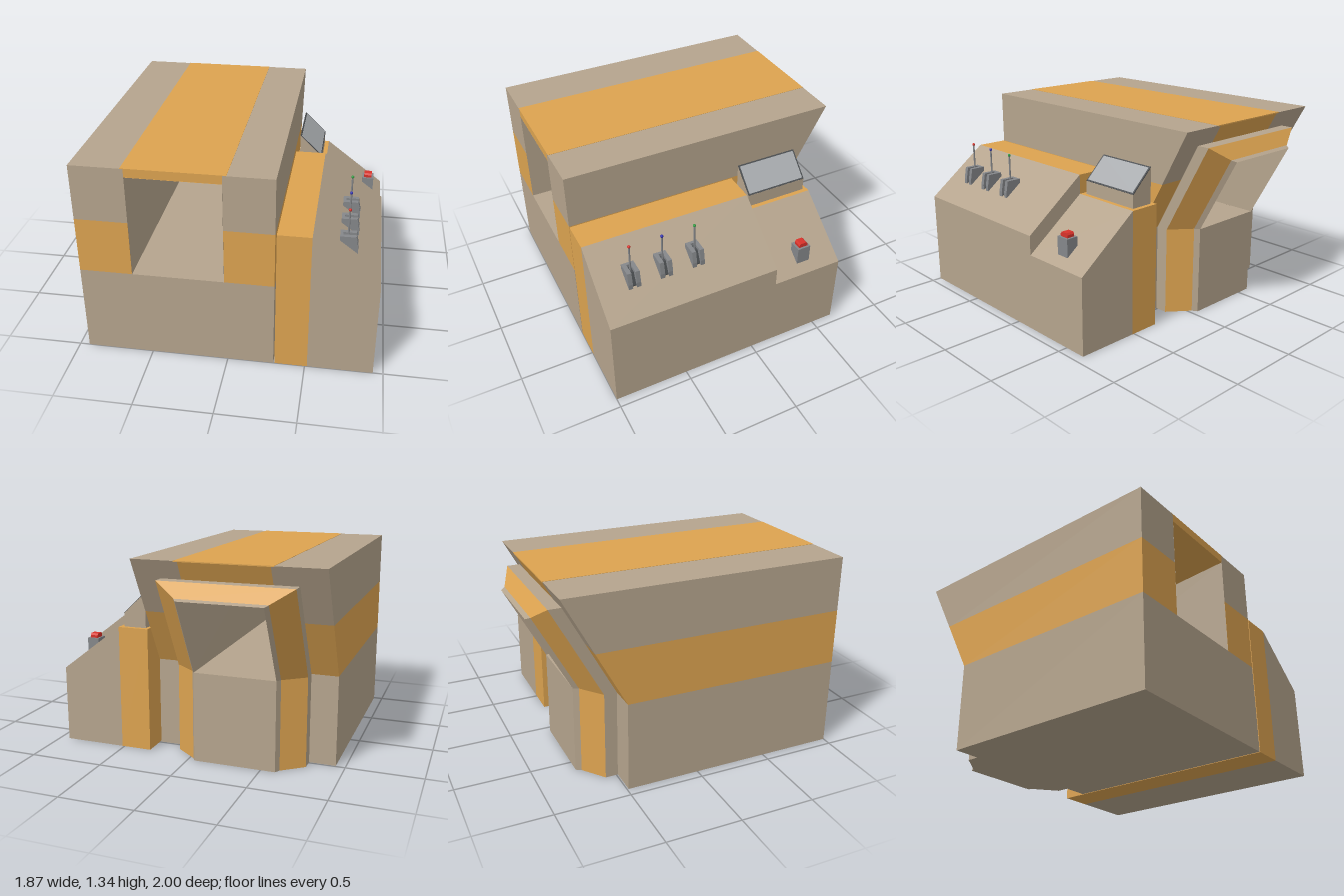
import * as THREE from 'three';

const mat = (color) => new THREE.MeshStandardMaterial({ color });
const TAN = mat(0xb5a48d), ORANGE = mat(0xdca350), GREY = mat(0x85878a), DARK = mat(0x4c4f52), GLASS = mat(0xa9acaf);
const RED = mat(0xd8322a), BLUE = mat(0x3030b0), GREEN = mat(0x2f9a40);
const SLOPE = 0.544, BEND = 0.6;
const backZ = (y, z0 = -0.49) => z0 - SLOPE * Math.max(0, y - BEND);

export function createModel() {
  const model = new THREE.Group();
  const add = (parent, name, geo, material) => {
    const m = new THREE.Mesh(geo, material);
    m.name = name;
    parent.add(m);
    return m;
  };
  const group = (name) => {
    const g = new THREE.Group();
    g.name = name;
    model.add(g);
    return g;
  };
  const box = (x0, x1, y0, y1, z0, z1) =>
    new THREE.BoxGeometry(x1 - x0, y1 - y0, z1 - z0).translate((x0 + x1) / 2, (y0 + y1) / 2, (z0 + z1) / 2);
  const extrude = (pts, depth) =>
    new THREE.ExtrudeGeometry(new THREE.Shape(pts.map((p) => new THREE.Vector2(...p))), { depth, bevelEnabled: false });
  // profile of [x, y] points swept along z
  const alongZ = (pts, z0, z1) => extrude(pts, z1 - z0).translate(0, 0, z0);
  // profile of [z, y] points swept along x
  const alongX = (pts, x0, x1) =>
    extrude(pts.map(([z, y]) => [-z, y]), x1 - x0).rotateY(Math.PI / 2).translate(x0, 0, 0);
  // strip of flat quads between two point rows
  const loft = (a, b) => {
    const v = [];
    for (let i = 0; i < a.length - 1; i++)
      for (const p of [a[i], b[i], b[i + 1], a[i], b[i + 1], a[i + 1]]) v.push(...p);
    const g = new THREE.BufferGeometry();
    g.setAttribute('position', new THREE.Float32BufferAttribute(v, 3));
    g.computeVertexNormals();
    return g;
  };
  const addStrip = (parent, name, a, b, material) => {
    const m = material.clone();
    m.side = THREE.DoubleSide;
    return add(parent, name, loft(a, b), m);
  };

  // main housing: base, two banded columns and the lintel
  const housing = group('housing');
  add(housing, 'housingBase', box(-0.937, 0.297, 0, 0.6, -0.49, 1), TAN);
  for (const [x0, x1, side] of [[-0.937, -0.6, 'right'], [-0.015, 0.297, 'left']]) {
    for (const [y0, y1, material, part] of [[0.6, 0.97, ORANGE, 'Band'], [0.97, 1.335, TAN, 'Upper']]) {
      const profile = [[1, y0], [1, y1], [backZ(y1), y1], [backZ(y0), y0]];
      add(housing, side + 'Column' + part, alongX(profile, x0, x1), material);
    }
  }
  add(housing, 'lintel', alongX([[1, 1.28], [1, 1.335], [backZ(1.335), 1.335], [backZ(1.13), 1.13]], -0.6, -0.015), ORANGE);
  add(housing, 'roofStripe', box(-0.62, 0.01, 1.33, 1.337, backZ(1.335), 1), ORANGE);

  // rear collar: arched rings stepping outwards and inwards
  const collar = group('rearCollar');
  const ring = (xl, xr, top, z0) =>
    [[xl, 0], [xl, BEND], [xl, top], [xr, top], [xr, BEND], [xr, 0]].map(([x, y]) => [x, y, backZ(y, z0)]);
  const rings = [
    ring(-0.76, 0.12, 1.214, -0.48),
    ring(-0.76, 0.12, 1.214, -0.574),
    ring(-0.617, -0.026, 1.123, -0.687),
    ring(-0.597, -0.047, 1.112, -0.722),
  ];
  const colours = [TAN, ORANGE, TAN];
  for (let i = 0; i < 3; i++) {
    addStrip(collar, 'collarStep', rings[i], rings[i + 1], colours[i]);
    addStrip(collar, 'collarUnderside', [rings[i][0], rings[i][5]], [rings[i + 1][0], rings[i + 1][5]], TAN);
  }
  add(collar, 'collarSill', box(-0.597, -0.047, 0, 0.6, -0.722, -0.49), TAN);

  // tunnel lining from front window to rear opening
  const tunnel = group('tunnel');
  const front = [[-0.599, 0.6, 1], [-0.599, 1.279, 1], [-0.016, 1.279, 1], [-0.016, 0.6, 1]];
  const back = rings[3].slice(1, 5);
  ['rightWall', 'ceiling', 'leftWall'].forEach((name, i) =>
    addStrip(tunnel, name, front.slice(i, i + 2), back.slice(i, i + 2), i === 1 ? ORANGE : TAN));

  // control console: high section in front, lower one behind
  const consoleGroup = group('console');
  for (const [name, top, low, z0, z1] of [['front', 0.97, 0.65, -0.157, 1], ['rear', 0.84, 0.52, -0.655, -0.157]]) {
    add(consoleGroup, name + 'Deck', box(0.305, 0.515, 0, top, z0, z1), ORANGE);
    add(consoleGroup, name + 'Slope', alongZ([[0.515, 0], [0.935, 0], [0.935, low], [0.515, top]], z0, z1), TAN);
  }

  // tilted screen
  const screen = group('screen');
  add(screen, 'screenHousing', alongZ([[0.33, 0.84], [0.485, 0.84], [0.485, 0.93], [0.33, 1.08]], -0.625, -0.19), TAN);
  const tilt = Math.atan2(0.15, 0.155);
  for (const [name, inset, h, material] of [['screenFrame', 0, 0.006, DARK], ['screenPanel', 0.01, 0.01, GLASS]]) {
    const m = add(screen, name, new THREE.BoxGeometry(0.215 - 2 * inset, h, 0.435 - 2 * inset), material);
    m.position.set(0.4075, 1.005, -0.4075);
    m.rotation.z = -tilt;
  }

  // levers: slotted bracket, stick and coloured tip
  for (const [z, tip] of [[0.77, RED], [0.555, BLUE], [0.335, GREEN]]) {
    const lever = group('lever');
    lever.position.z = z;
    const cheek = [[0.67, 0.83], [0.785, 0.75], [0.785, 0.8], [0.77, 0.88], [0.67, 0.88]];
    for (const s of [-1, 1]) add(lever, 'bracketCheek', alongZ(cheek, s * 0.027 - 0.014, s * 0.027 + 0.014), GREY);
    add(lever, 'slotFloor', alongZ([[0.68, 0.83], [0.775, 0.755], [0.775, 0.78], [0.74, 0.86], [0.68, 0.86]], -0.014, 0.014), DARK);
    add(lever, 'bracketBack', box(0.67, 0.69, 0.82, 0.88, -0.014, 0.014), GREY);
    add(lever, 'stick', new THREE.CylinderGeometry(0.006, 0.006, 0.21, 10).translate(0.72, 0.94, 0), GREY);
    add(lever, 'tip', new THREE.SphereGeometry(0.01, 12, 8).translate(0.72, 1.046, 0), tip);
  }

  // emergency button on its stand
  const button = group('button');
  add(button, 'buttonStand', alongZ([[0.79, 0.62], [0.872, 0.56], [0.872, 0.6], [0.872, 0.69], [0.79, 0.69]], -0.45, -0.357), GREY);
  add(button, 'buttonCap', alongX([[-0.435, 0.69], [-0.435, 0.708], [-0.425, 0.72], [-0.382, 0.72], [-0.372, 0.708], [-0.372, 0.69]], 0.803, 0.858), RED);

  return model;
}
